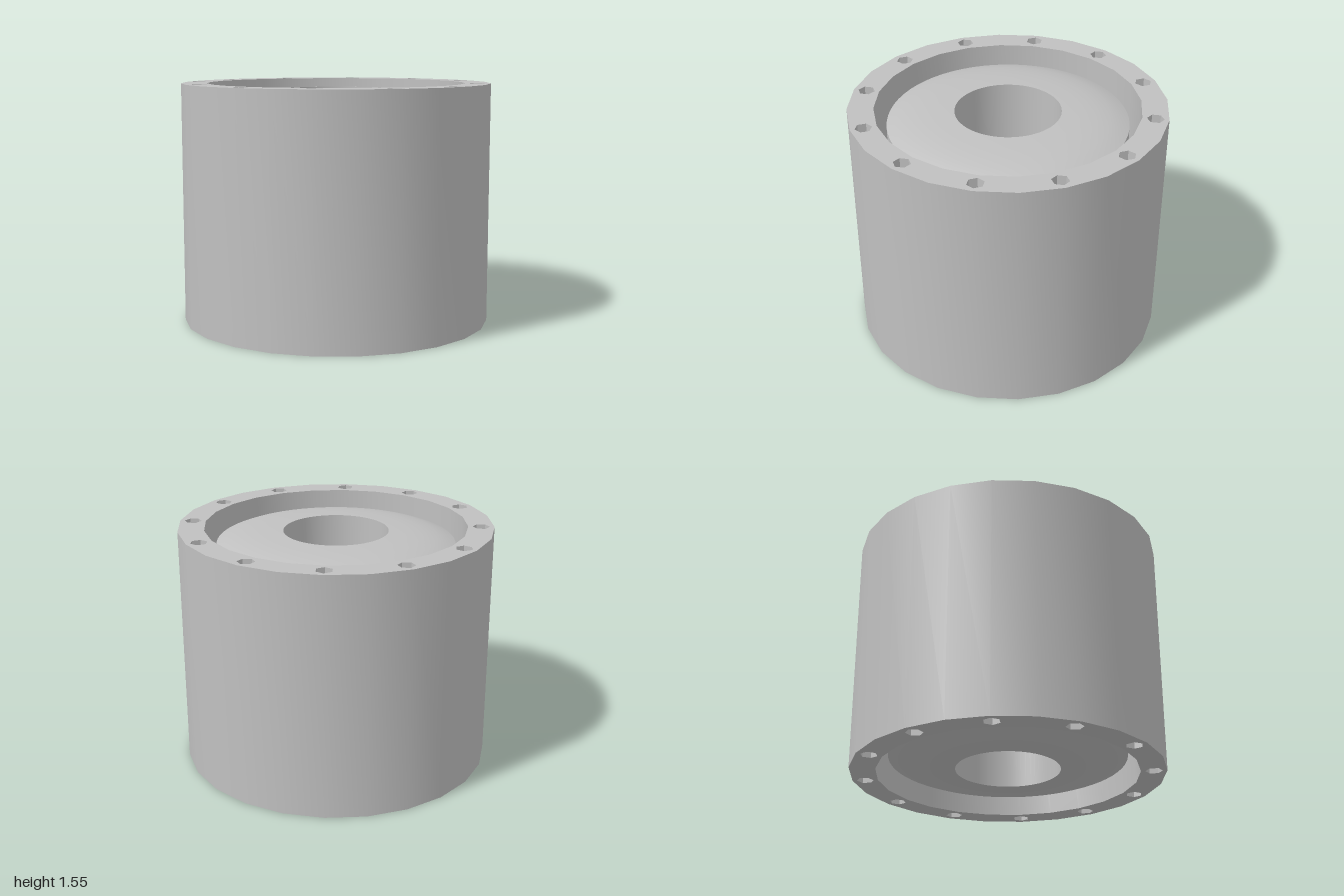
import * as THREE from 'three';
import { toCreasedNormals } from 'three/addons/utils/BufferGeometryUtils.js';

const HEIGHT = 1.55;
const CREASE = Math.PI / 6;

// Corner points of a regular polygon, first corner pointing along angle `turn`
function polygon(radius, sides, cx = 0, cy = 0, turn = 0) {
  return Array.from({ length: sides }, (_, i) => {
    const a = turn + (i / sides) * Math.PI * 2;
    return new THREE.Vector2(cx + radius * Math.cos(a), cy + radius * Math.sin(a));
  });
}

export function createModel() {
  const group = new THREE.Group();
  const steel = new THREE.MeshStandardMaterial({ color: 0xc0c0c0 });
  steel.name = 'steel grey';

  const add = (name, geometry) => {
    const mesh = new THREE.Mesh(geometry, steel);
    mesh.name = name;
    group.add(mesh);
    return mesh;
  };

  // Outer housing: 24-sided sleeve with twelve hexagonal through holes
  const ring = new THREE.Shape(polygon(1, 24));
  ring.holes.push(new THREE.Path(polygon(0.835, 24)));
  for (let i = 0; i < 12; i++) {
    const a = (i / 12) * Math.PI * 2;
    ring.holes.push(new THREE.Path(
      polygon(0.054, 6, 0.917 * Math.cos(a), 0.917 * Math.sin(a), a)));
  }
  const housing = new THREE.ExtrudeGeometry(ring, { depth: HEIGHT, bevelEnabled: false });
  housing.rotateX(-Math.PI / 2);
  add('outerHousing', toCreasedNormals(housing, CREASE));

  // Inner core: crowned at both ends, with a straight central bore
  const crown = [[0.335, 0.04], [0.45, 0.045], [0.55, 0.055], [0.64, 0.07], [0.71, 0.09], [0.76, 0.11]];
  const bottom = crown.map(([r, d]) => new THREE.Vector2(r, d));
  const top = crown.map(([r, d]) => new THREE.Vector2(r, HEIGHT - d)).reverse();
  const core = new THREE.LatheGeometry([...bottom, ...top, bottom[0].clone()], 64);
  add('innerCore', toCreasedNormals(core, CREASE));

  // Six bearing balls in the gap at mid height
  const ball = new THREE.SphereGeometry(0.034, 20, 14);
  for (let i = 0; i < 6; i++) {
    const a = (i / 6) * Math.PI * 2;
    add('bearingBall', ball).position.set(0.8 * Math.cos(a), HEIGHT / 2, 0.8 * Math.sin(a));
  }

  return group;
}
